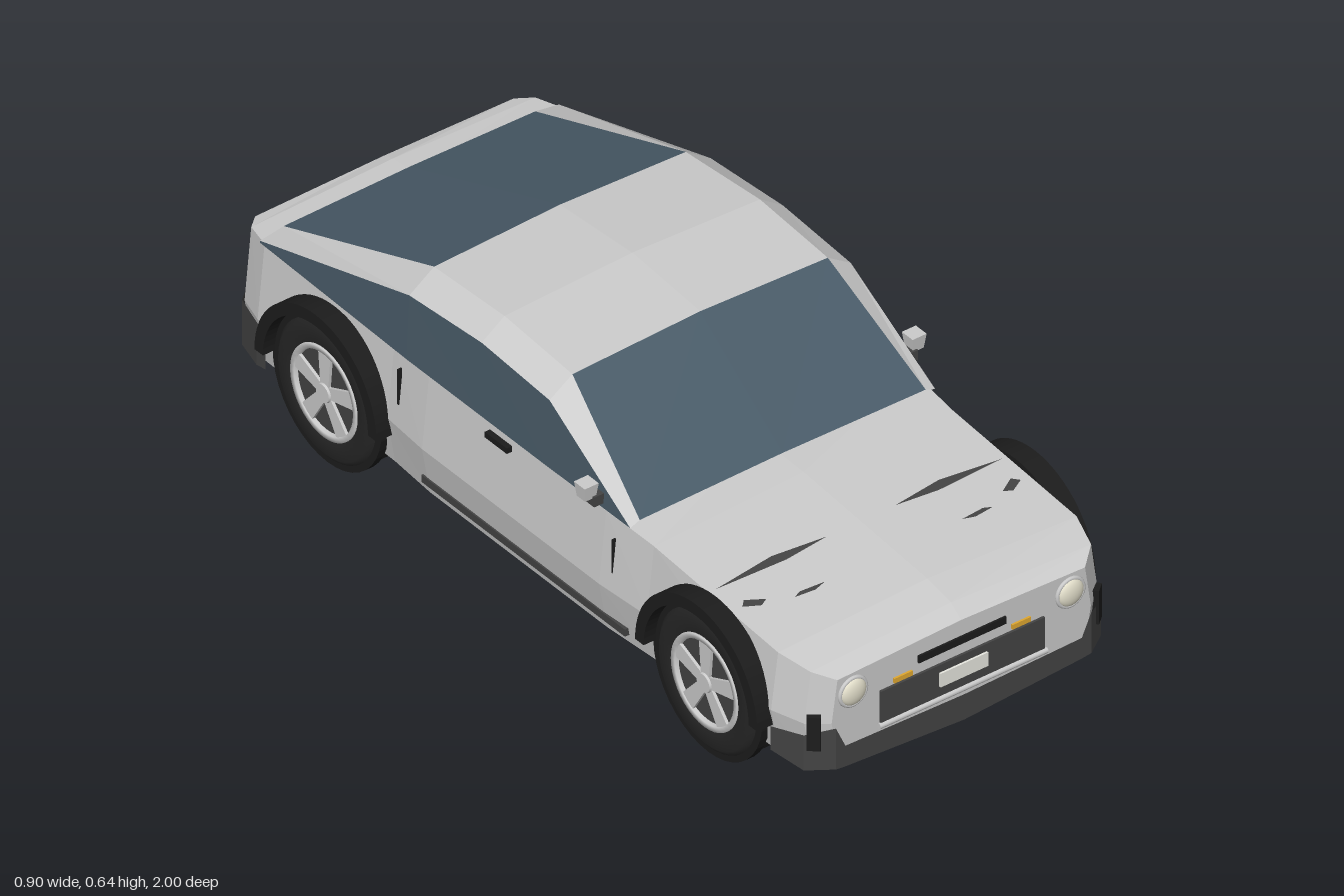
import * as THREE from 'three';

const paint = (color, extra = {}) => new THREE.MeshStandardMaterial({ color, ...extra });
const GREY = paint(0xcccccc, { flatShading: true });
const CHROME = paint(0xcccccc);
const DARK = paint(0x444444, { flatShading: true });
const BLACK = paint(0x1c1c1c, { flatShading: true });
const TYRE = paint(0x262626);
const GLASS = paint(0x4a5c69, { flatShading: true });
const LAMP = paint(0xe4e0cc);
const AMBER = paint(0xe0a830);
const RED = paint(0xc8382c);
const WHITE = paint(0xe8e8e0);

// Flat-shaded surface through rows of [x, y, z] points
function grid(rows) {
  const pos = [];
  for (let i = 0; i + 1 < rows.length; i++) {
    for (let j = 0; j + 1 < rows[i].length; j++) {
      const a = rows[i][j], b = rows[i][j + 1], c = rows[i + 1][j], d = rows[i + 1][j + 1];
      pos.push(...a, ...c, ...b, ...b, ...c, ...d);
    }
  }
  const geo = new THREE.BufferGeometry();
  geo.setAttribute('position', new THREE.Float32BufferAttribute(pos, 3));
  geo.computeVertexNormals();
  return geo;
}

const flip = ([x, y, z]) => [-x, y, z];
// Half a section mirrored across x = 0; the last point lies on the centre line
const mirrored = (half) => [...half, ...half.slice(0, -1).reverse().map(flip)];

export function createModel() {
  const car = new THREE.Group();
  car.name = 'car';

  function add(name, geo, mat, x = 0, y = 0, z = 0, parent = car) {
    const mesh = new THREE.Mesh(geo, mat);
    mesh.name = name;
    mesh.position.set(x, y, z);
    parent.add(mesh);
    return mesh;
  }
  const box = (name, mat, w, h, d, x, y, z) => add(name, new THREE.BoxGeometry(w, h, d), mat, x, y, z);

  // Lower body: z, half width, sill height, shoulder height, centre height
  const body = [
    [0.985, 0.34, 0.12, 0.325, 0.335], [0.95, 0.385, 0.11, 0.345, 0.36],
    [0.87, 0.41, 0.105, 0.36, 0.375], [0.45, 0.41, 0.1, 0.39, 0.407],
    [0.3, 0.42, 0.1, 0.4, 0.41], [-0.3, 0.42, 0.1, 0.405, 0.41],
    [-0.43, 0.41, 0.1, 0.405, 0.41], [-0.87, 0.41, 0.105, 0.405, 0.415],
    [-0.94, 0.39, 0.11, 0.4, 0.41], [-0.97, 0.355, 0.12, 0.395, 0.4],
  ].map(([z, w, yb, ye, yc]) => ({
    sill: [w * 0.95, yb, z], waist: [w, 0.22, z], shoulder: [w * 0.955, ye, z],
    top: [0, yc, z], keel: [0, yb - 0.022, z], mid: [0, 0.22, z],
  }));
  add('bodyShell', grid(body.map((s) => mirrored([s.sill, s.waist, s.shoulder, s.top]))), GREY);
  add('underside', grid(body.map((s) => mirrored([flip(s.sill), s.keel]))), BLACK);
  const cap = (s) => [[s.sill, s.keel], [s.waist, s.mid], [s.shoulder, s.top]].map(mirrored);
  add('noseFace', grid(cap(body[0])), GREY);
  add('tailFace', grid(cap(body[body.length - 1]).map((r) => r.reverse())), GREY);

  // Cabin: z, side x, side y, roof edge x, roof edge y, centre y
  const cabin = [
    [0.38, 0.4, 0.4, 0.375, 0.41, 0.415], [0.1, 0.395, 0.565, 0.335, 0.605, 0.617],
    [-0.13, 0.395, 0.58, 0.335, 0.622, 0.635], [-0.375, 0.395, 0.56, 0.33, 0.605, 0.617],
    [-0.885, 0.392, 0.405, 0.33, 0.415, 0.42],
  ].map(([z, xs, ys, xe, ye, yc]) => ({
    base: [z > 0.3 || z < -0.8 ? xs : 0.403, 0.4, z],
    side: [xs, ys, z], edge: [xe, ye, z], top: [0, yc, z],
  }));
  const screen = (a, b) => grid([cabin[a], cabin[b]].map((s) => mirrored([s.edge, s.top])));
  add('roof', grid(cabin.slice(1, 4).map((s) => mirrored([s.side, s.edge, s.top]))), GREY);
  add('windscreen', screen(0, 1), GLASS);
  add('rearWindow', screen(3, 4), GLASS);
  for (const [a, b, name] of [[0, 1, 'frontPillar'], [3, 4, 'rearPillar']]) {
    const pair = [cabin[a], cabin[b]];
    add(name + 'Left', grid(pair.map((s) => [s.side, s.edge])), GREY);
    add(name + 'Right', grid(pair.map((s) => [flip(s.edge), flip(s.side)])), GREY);
  }
  add('sideWindowLeft', grid(cabin.map((s) => [s.base, s.side])), GLASS);
  add('sideWindowRight', grid(cabin.map((s) => [flip(s.side), flip(s.base)])), GLASS);

  // Wrap-around bumpers: x, z, bottom, top for half of the plan
  function bumper(name, half, dir) {
    const path = half.map(([x, z, y0, y1]) => [[x * dir, y0, z], [x * dir, y1, z]]);
    const other = path.slice().reverse().map((p) => p.map(flip));
    const all = [...path, ...other];
    add(name, grid([all.map((p) => p[0]), all.map((p) => p[1])]),
      paint(0x444444, { flatShading: true, side: THREE.DoubleSide }));
  }
  bumper('frontBumper', [[0.412, 0.87, 0.12, 0.18], [0.39, 0.955, 0.105, 0.195],
    [0.335, 0.993, 0.105, 0.21], [0.31, 0.993, 0.102, 0.155], [0, 0.995, 0.085, 0.15]], 1);
  bumper('rearBumper', [[0.413, -0.84, 0.11, 0.2], [0.413, -0.87, 0.105, 0.215],
    [0.393, -0.945, 0.105, 0.22], [0.355, -0.976, 0.105, 0.22], [0, -0.978, 0.09, 0.22]], -1);

  // Horizontal chrome bar
  function bar(name, length, y, z) {
    const geo = new THREE.CylinderGeometry(0.007, 0.007, length, 10).rotateZ(Math.PI / 2);
    add(name, geo, CHROME, 0, y, z);
  }

  // Nose details
  box('grille', DARK, 0.43, 0.085, 0.012, 0, 0.207, 0.985);
  box('noseSlot', BLACK, 0.23, 0.018, 0.012, 0, 0.286, 0.984);
  box('frontPlate', WHITE, 0.125, 0.035, 0.006, 0, 0.213, 0.993);
  bar('frontChromeBar', 0.44, 0.163, 0.99);

  // Tail details
  box('rearPlate', WHITE, 0.12, 0.045, 0.008, 0, 0.265, -0.971);
  bar('rearChromeBar', 0.5, 0.16, -0.982);

  // Thin dark hood insert lying on the hood surface
  function hoodInsert(points, s) {
    const at = ([x, z]) => [x * s, 0.378 + 0.032 * (0.87 - z) / 0.42 - 0.017 * x / 0.39 + 0.002, z];
    const [a, b, c, d] = points.map(at);
    add('hoodInsert', grid([[a, b], [d, c]]), paint(0x444444, { side: THREE.DoubleSide }));
  }

  // Paired details, left and right
  for (const s of [1, -1]) {
    const lamp = new THREE.SphereGeometry(0.033, 24, 12).scale(1, 1, 0.4);
    add('headlight', lamp, LAMP, s * 0.285, 0.28, 0.987);
    add('headlightRing', new THREE.TorusGeometry(0.034, 0.005, 8, 28), CHROME, s * 0.285, 0.28, 0.986);
    box('indicator', AMBER, 0.048, 0.012, 0.01, s * 0.155, 0.26, 0.985);
    const vent = box('cornerVent', BLACK, 0.03, 0.085, 0.02, s * 0.37, 0.2, 0.963);
    vent.rotation.y = s * 0.7;

    box('tailLightSurround', BLACK, 0.245, 0.03, 0.008, s * 0.2, 0.315, -0.97);
    box('tailLight', RED, 0.235, 0.018, 0.012, s * 0.2, 0.315, -0.971);
    const pipe = new THREE.CylinderGeometry(0.016, 0.016, 0.08, 16).rotateX(Math.PI / 2);
    add('exhaust', pipe, CHROME, s * 0.195, 0.127, -0.96);

    box('mirrorStalk', DARK, 0.03, 0.025, 0.03, s * 0.41, 0.425, 0.275);
    const mirror = new THREE.CylinderGeometry(0.026, 0.02, 0.036, 4, 1).rotateY(Math.PI / 4);
    add('mirror', mirror, GREY, s * 0.43, 0.45, 0.27);
    box('doorHandle', BLACK, 0.014, 0.014, 0.075, s * 0.413, 0.38, -0.05);
    box('sillStrip', DARK, 0.02, 0.018, 0.69, s * 0.4, 0.132, 0.03);
    box('doorSeamFront', BLACK, 0.01, 0.1, 0.004, s * 0.408, 0.3, 0.335);
    box('doorSeamRear', BLACK, 0.01, 0.09, 0.004, s * 0.405, 0.32, -0.395);

    hoodInsert([[0.09, 0.645], [0.22, 0.625], [0.375, 0.638], [0.2, 0.652]], s);
    hoodInsert([[0.31, 0.725], [0.35, 0.7], [0.365, 0.715], [0.33, 0.735]], s);
    hoodInsert([[0.18, 0.755], [0.24, 0.748], [0.26, 0.756], [0.21, 0.763]], s);
  }

  // Wheels face +x in their own frame; the right-hand ones are turned around
  const toX = (geo) => geo.rotateZ(-Math.PI / 2);
  const tyreProfile = [[0.105, 0.285], [0.155, 0.285], [0.17, 0.295], [0.175, 0.315],
    [0.175, 0.39], [0.17, 0.41], [0.155, 0.422], [0.115, 0.422], [0.105, 0.412]]
    .map(([r, x]) => new THREE.Vector2(r, x));
  const rimProfile = [[0.097, 0.412], [0.1, 0.423], [0.112, 0.424], [0.114, 0.412]]
    .map(([r, x]) => new THREE.Vector2(r, x)).reverse();
  const arch = new THREE.Shape();
  arch.absarc(0, 0, 0.207, 0, Math.PI, false);
  arch.absarc(0, 0, 0.178, Math.PI, 0, true);
  const spoke = new THREE.Shape([[-0.013, 0.01], [0.013, 0.01], [0.021, 0.102], [-0.021, 0.102]]
    .map(([x, y]) => new THREE.Vector2(x, y)));

  for (const [end, z] of [['front', 0.66], ['rear', -0.63]]) {
    for (const s of [1, -1]) {
      const wheel = new THREE.Group();
      wheel.name = end + (s > 0 ? 'LeftWheel' : 'RightWheel');
      wheel.position.set(0, 0.175, z);
      if (s < 0) wheel.rotation.y = Math.PI;
      car.add(wheel);
      add('tyre', toX(new THREE.LatheGeometry(tyreProfile, 40)), TYRE, 0, 0, 0, wheel);
      add('rim', toX(new THREE.LatheGeometry(rimProfile, 40)),
        paint(0xcccccc, { side: THREE.DoubleSide }), 0, 0, 0, wheel);
      add('dish', toX(new THREE.CylinderGeometry(0.11, 0.11, 0.12, 32)), DARK, 0.354, 0, 0, wheel);
      add('hub', toX(new THREE.CylinderGeometry(0.022, 0.026, 0.014, 16)), CHROME, 0.419, 0, 0, wheel);
      for (let i = 0; i < 5; i++) {
        const geo = new THREE.ExtrudeGeometry(spoke, { depth: 0.012, bevelEnabled: false });
        geo.rotateZ(i * Math.PI * 0.4).rotateY(Math.PI / 2);
        add('spoke', geo, GREY, 0.409, 0, 0, wheel);
      }
      // Dark well behind the tyre and the flare above it
      add('wheelWell', toX(new THREE.CylinderGeometry(0.185, 0.185, 0.02, 40, 1, false, 0, Math.PI * 2)),
        BLACK, 0.403, 0.004, 0, wheel);
      const flare = new THREE.ExtrudeGeometry(arch, { depth: 0.05, bevelEnabled: false, curveSegments: 16 });
      add('archFlare', flare.rotateY(Math.PI / 2), BLACK, 0.394, 0.003, 0, wheel);
    }
  }
  return car;
}
